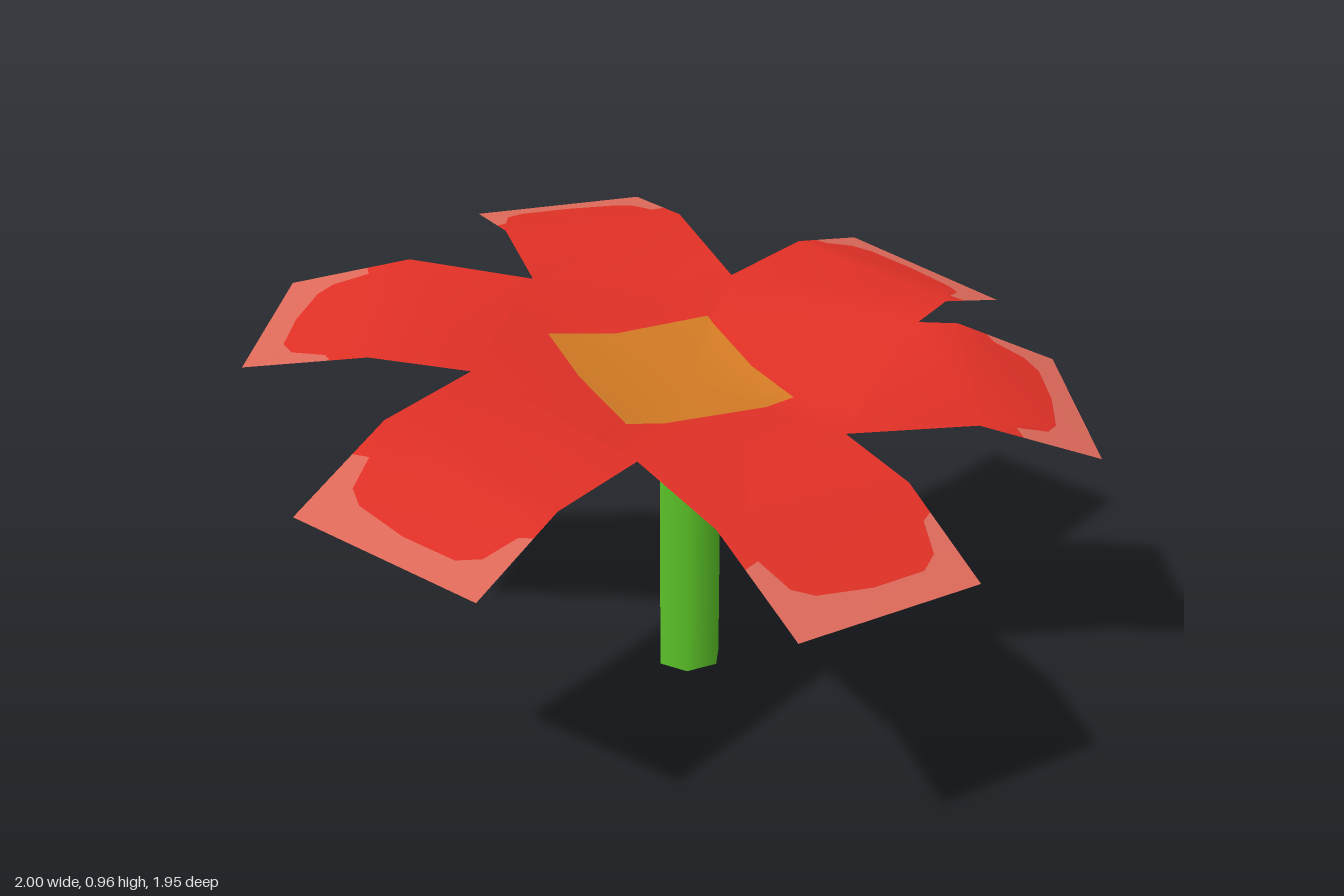
import * as THREE from 'three';
import { mergeVertices } from 'three/addons/utils/BufferGeometryUtils.js';

const mat = (name, color) => {
  const m = new THREE.MeshStandardMaterial({ color, side: THREE.DoubleSide });
  m.name = name;
  return m;
};
const V = (x, y, z) => new THREE.Vector3(x, y, z);

// Dished middle of the blossom and the notches between petals, clockwise from above
const centre = V(0.05, 0.745, -0.01);
const notches = [
  V(-0.165, 0.905, -0.455), V(0.335, 0.875, -0.34), V(0.63, 0.83, 0.075),
  V(0.205, 0.745, 0.43), V(-0.29, 0.76, 0.39), V(-0.485, 0.845, -0.065),
];
// Each petal: two corners of the fold, then two corners of the tip
const petals = [
  [V(-0.135, 0.96, -0.7), V(0.345, 0.955, -0.65), V(-0.1, 0.93, -0.98), V(0.36, 0.93, -0.94)],
  [V(0.58, 0.91, -0.42), V(0.755, 0.845, 0.01), V(0.82, 0.86, -0.525), V(0.995, 0.78, -0.1)],
  [V(0.72, 0.825, 0.115), V(0.49, 0.75, 0.535), V(0.945, 0.725, 0.21), V(0.77, 0.65, 0.63)],
  [V(0.215, 0.72, 0.67), V(-0.265, 0.725, 0.7), V(0.225, 0.595, 0.93), V(-0.23, 0.59, 0.97)],
  [V(-0.53, 0.745, 0.515), V(-0.745, 0.83, 0.09), V(-0.76, 0.65, 0.64), V(-1, 0.72, 0.245)],
  [V(-0.68, 0.865, -0.205), V(-0.43, 0.95, -0.61), V(-0.93, 0.83, -0.365), V(-0.69, 0.885, -0.755)],
];
// Inner border of the pale rim: u across the petal, v from fold to tip
const rim = [[0, 0.3], [0.06, 0.36], [0.12, 0.65], [0.22, 0.76], [0.5, 0.77],
  [0.78, 0.7], [0.87, 0.6], [0.92, 0.32], [1, 0.36]];

// Adds a triangle that always faces up
function tri(list, a, b, c) {
  const up = b.clone().sub(a).cross(c.clone().sub(a)).y > 0;
  for (const p of up ? [a, b, c] : [a, c, b]) list.push(p.x, p.y, p.z);
}
function quad(list, a, b, c, d) {
  tri(list, a, b, c);
  tri(list, a, c, d);
}
// Fills a flat u,v outline and maps it onto the patch between fold and tip
function patch(list, outline, [f0, f1, t0, t1]) {
  const pts = outline.map(([u, v]) => new THREE.Vector2(u, v));
  const at = (p) => f0.clone().lerp(f1, p.x).lerp(t0.clone().lerp(t1, p.x), p.y);
  for (const t of THREE.ShapeUtils.triangulateShape(pts, [])) tri(list, ...t.map((i) => at(pts[i])));
}

// Point of the fan edge from p to q met by a ray from the centre
function onEdge(p, q, dx, dz) {
  const ex = q.x - p.x, ez = q.z - p.z;
  const t = ((centre.x - p.x) * dz - (centre.z - p.z) * dx) / (ex * dz - ez * dx);
  return p.clone().lerp(q, t);
}

// Middle: square heart cut out of a six-sided fan
function middle(red, orange) {
  const angle = (p) => Math.atan2(p.z - centre.z, p.x - centre.x);
  const corners = [V(-0.23, 0, -0.215), V(0.2, 0, -0.215), V(0.2, 0, 0.21), V(-0.23, 0, 0.21)];
  const rays = [];
  for (const p of notches) rays.push({ a: angle(p), outer: p });
  for (const k of corners) {
    const dx = k.x - centre.x, dz = k.z - centre.z, a = angle(k);
    const i = notches.findIndex((p, j) => {
      const span = (s) => (s + 4 * Math.PI) % (2 * Math.PI);
      return span(a - angle(p)) < span(angle(notches[(j + 1) % 6]) - angle(p));
    });
    rays.push({ a, outer: onEdge(notches[i], notches[(i + 1) % 6], dx, dz) });
  }
  rays.sort((p, q) => p.a - q.a);
  for (const r of rays) {
    const dx = r.outer.x - centre.x, dz = r.outer.z - centre.z;
    const sx = ((dx > 0 ? 0.2 : -0.23) - centre.x) / dx;
    const sz = ((dz > 0 ? 0.21 : -0.215) - centre.z) / dz;
    r.inner = centre.clone().lerp(r.outer, Math.min(sx, sz));
  }
  rays.forEach((r, i) => {
    const n = rays[(i + 1) % rays.length];
    tri(orange, centre, r.inner, n.inner);
    quad(red, r.inner, r.outer, n.outer, n.inner);
  });
}

export function createModel() {
  const group = new THREE.Group();
  group.name = 'flower';

  // Blossom: one smooth sheet with three colours
  const red = [], pale = [], orange = [];
  middle(red, orange);
  petals.forEach((p, i) => {
    quad(red, notches[i], p[0], p[1], notches[(i + 1) % 6]);
    patch(red, [[0, 0], ...rim, [1, 0]], p);
    patch(pale, [[0, 1], ...rim, [1, 1]], p);
  });
  let geo = new THREE.BufferGeometry();
  geo.setAttribute('position', new THREE.Float32BufferAttribute([...red, ...pale, ...orange], 3));
  geo = mergeVertices(geo, 1e-4);
  geo.computeVertexNormals();
  let start = 0;
  [red, pale, orange].forEach((list, i) => {
    geo.addGroup(start, list.length / 3, i);
    start += list.length / 3;
  });
  const blossom = new THREE.Mesh(geo, [
    mat('petal red', 0xe03026), mat('pale petal rim', 0xde6a5a), mat('heart orange', 0xd27a24),
  ]);
  blossom.name = 'blossom';
  group.add(blossom);

  // Stem: open six-sided tube
  const stemGeo = new THREE.CylinderGeometry(0.083, 0.083, 0.745, 6, 1, true);
  stemGeo.rotateY(Math.PI / 2).scale(1, 1, 0.91).translate(0.048, 0.3725, -0.013);
  const stem = new THREE.Mesh(stemGeo, mat('stem green', 0x5cc428));
  stem.name = 'stem';
  group.add(stem);
  return group;
}
